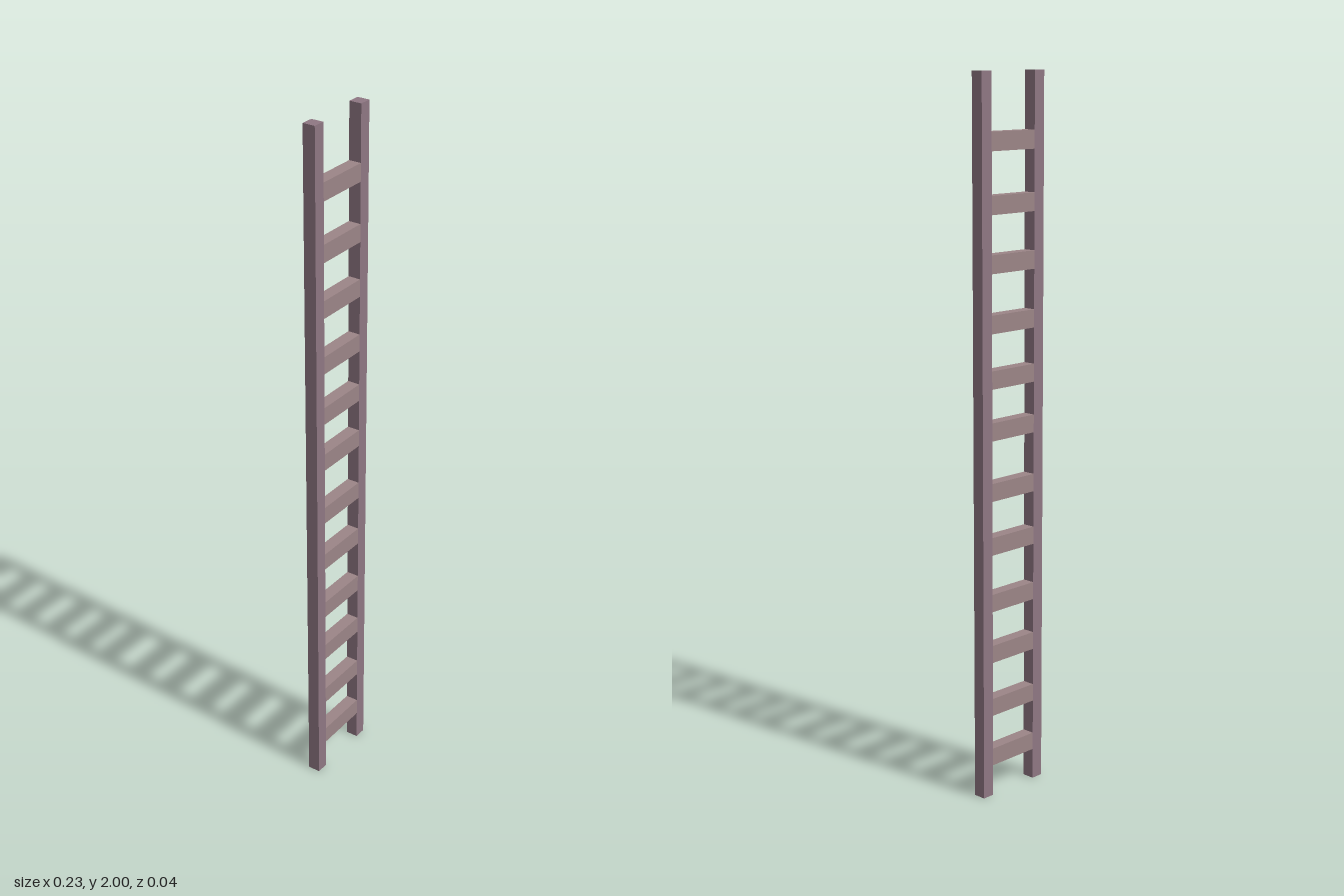
import * as THREE from 'three';

const RAIL_X = 0.099;
const THICKNESS = 0.036;
const RUNG_HEIGHT = 0.05;
// Unevenly spaced rung heights, bottom to top
const RUNG_Y = [0.114, 0.262, 0.418, 0.566, 0.728, 0.88, 1.048, 1.19, 1.34, 1.5, 1.655, 1.82];

export function createModel() {
  const ladder = new THREE.Group();
  ladder.name = 'ladder';

  const railMaterial = new THREE.MeshStandardMaterial({ color: 0x8f7783 });
  const rungMaterial = new THREE.MeshStandardMaterial({ color: 0x9c8587 });

  const addBox = (name, size, position, material) => {
    const mesh = new THREE.Mesh(new THREE.BoxGeometry(...size), material);
    mesh.name = name;
    mesh.position.set(...position);
    ladder.add(mesh);
  };

  // Two square side rails
  for (const [name, side] of [['leftRail', 1], ['rightRail', -1]]) {
    addBox(name, [THICKNESS, 2, THICKNESS], [side * RAIL_X, 1, 0], railMaterial);
  }

  // Flat rungs set flush between the rails
  RUNG_Y.forEach((y, i) => {
    addBox(`rung${i + 1}`, [2 * RAIL_X - THICKNESS, RUNG_HEIGHT, THICKNESS], [0, y, 0], rungMaterial);
  });

  // Very slight turn, one rail a touch further forward
  ladder.rotation.y = 0.011;

  const model = new THREE.Group();
  model.add(ladder);
  return model;
}
